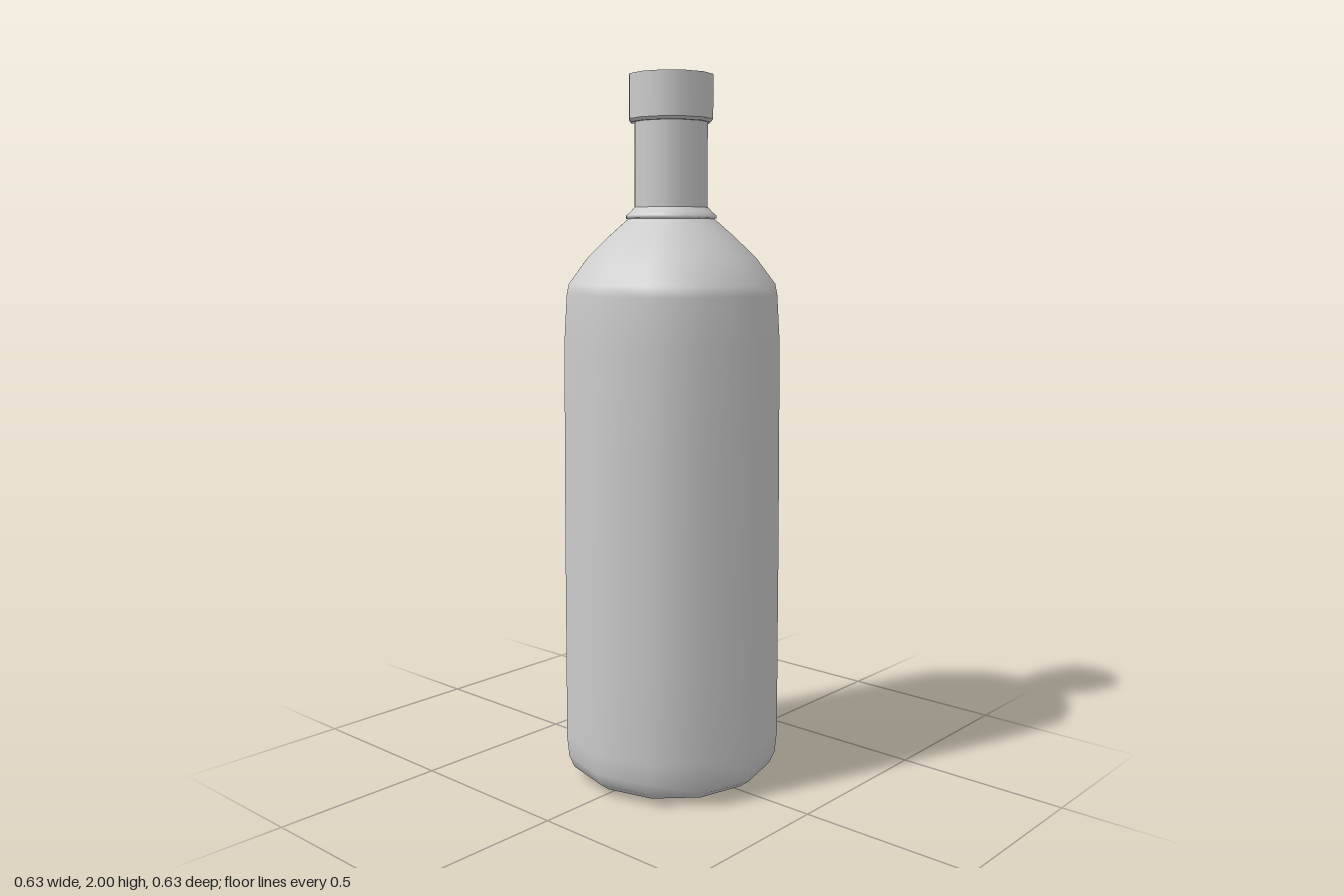
import * as THREE from 'three';

const SIDES = 12;

export function createModel() {
  const model = new THREE.Group();
  model.name = 'bottle';
  const material = new THREE.MeshStandardMaterial({ color: 0xcccccc });

  // Turned part from [radius, height] points, bottom to top
  function turned(name, profile) {
    const points = profile.map(([r, y]) => new THREE.Vector2(r, y));
    const mesh = new THREE.Mesh(new THREE.LatheGeometry(points, SIDES), material);
    mesh.name = name;
    model.add(mesh);
  }

  // Body with a hollowed base, rounded foot and sloping shoulder
  turned('body', [
    [0, 0.06], [0.1, 0.05], [0.17, 0.025], [0.2, 0.005], [0.225, 0],
    [0.265, 0.012], [0.295, 0.035], [0.31, 0.07], [0.316, 0.13],
    [0.315, 0.37], [0.314, 0.7], [0.312, 1.0], [0.31, 1.27],
    [0.302, 1.4], [0.296, 1.43], [0.243, 1.5], [0.18, 1.56], [0.122, 1.61],
  ]);

  // Small collar where the shoulder meets the neck
  turned('collar', [
    [0.118, 1.606], [0.129, 1.61], [0.129, 1.618], [0.118, 1.627], [0.106, 1.64],
  ]);

  // Straight neck
  turned('neck', [[0.104, 1.62], [0.104, 1.885]]);

  // Stopper with a flat top and a slim chamfer below
  const cap = new THREE.Mesh(new THREE.CylinderGeometry(0.119, 0.119, 0.12, SIDES), material);
  cap.name = 'cap';
  cap.position.y = 1.94;
  model.add(cap);
  turned('capChamfer', [[0.104, 1.872], [0.113, 1.872], [0.119, 1.88]]);

  return model;
}
